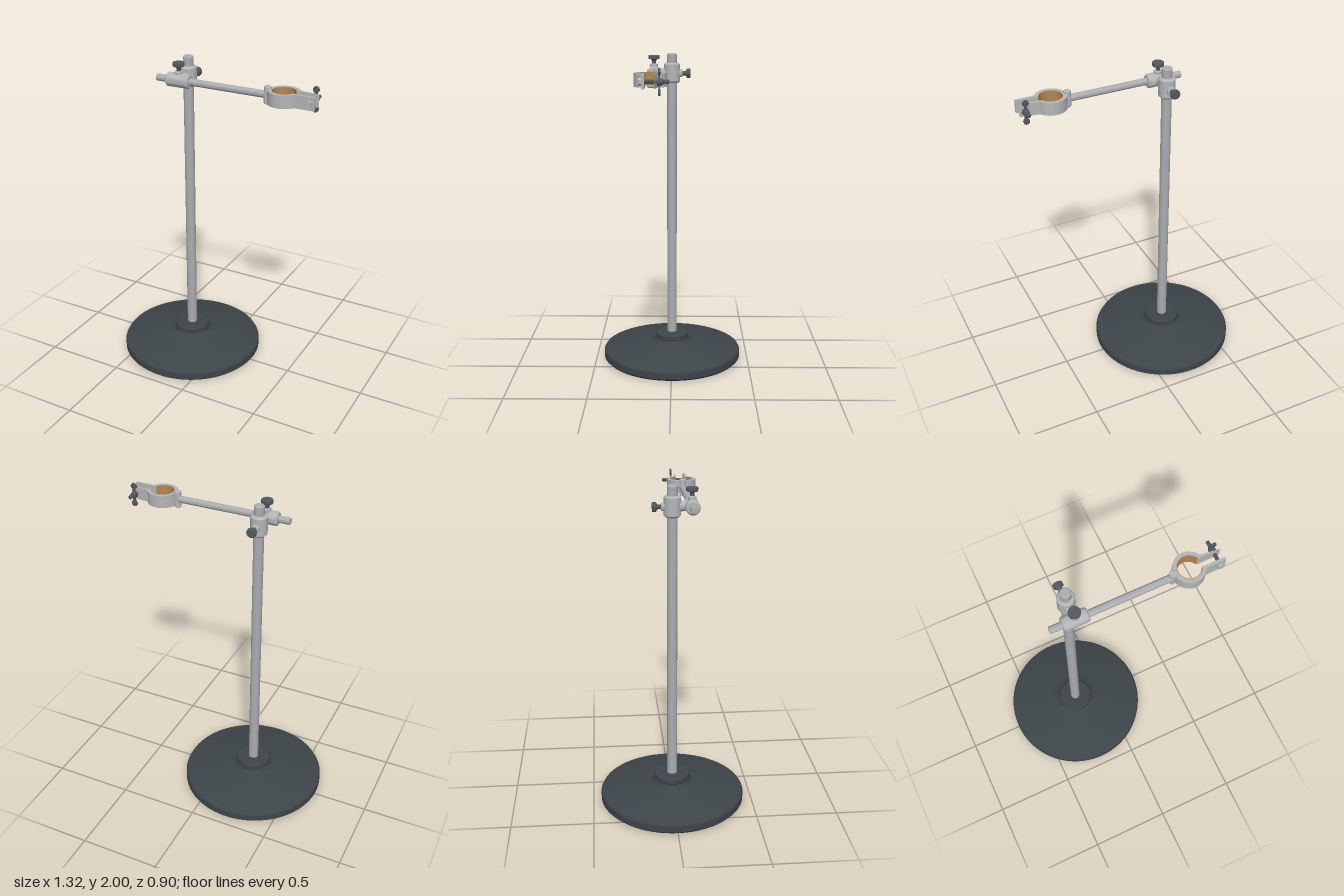
import * as THREE from 'three';
import { toCreasedNormals } from 'three/addons/utils/BufferGeometryUtils.js';

const material = (name, color) => Object.assign(new THREE.MeshStandardMaterial({ color }), { name });

export function createModel() {
  const group = new THREE.Group();
  const castIron = material('castIron', 0x3d4549);
  const steel = material('steel', 0xabacb0);
  const clampMetal = material('clampMetal', 0xb4b5b7);
  const knobMetal = material('knobMetal', 0x55595d);
  const cork = material('cork', 0xb48652);

  const poleX = -0.21, armY = 1.88, armZ = 0.113;
  const ringX = 0.46, screwX = 0.627;

  function add(name, geometry, mat, x, y, z, parent = group) {
    const mesh = new THREE.Mesh(geometry, mat);
    mesh.name = name;
    mesh.position.set(x, y, z);
    parent.add(mesh);
    return mesh;
  }

  // Turned solid from [radius, height] pairs, rising along y
  const turned = (profile, segments = 40) => toCreasedNormals(
    new THREE.LatheGeometry(profile.map(([r, y]) => new THREE.Vector2(r, y)), segments), 0.45);

  // Chamfered bar from a to b along an axis
  function bar(r, a, b, axis = 'y', chamfer = 0.006, segments = 32) {
    const geo = turned([[0, a], [r - chamfer, a], [r, a + chamfer],
      [r, b - chamfer], [r - chamfer, b], [0, b]], segments);
    if (axis === 'x') geo.rotateZ(-Math.PI / 2);
    if (axis === 'z') geo.rotateX(Math.PI / 2);
    return geo;
  }

  // Weighted base and upright pole
  add('base', turned([[0, 0], [0.435, 0], [0.45, 0.015], [0.45, 0.055], [0.443, 0.068],
    [0.428, 0.075], [0.17, 0.1], [0.135, 0.107], [0.118, 0.118], [0.108, 0.132],
    [0.105, 0.14], [0.108, 0.145], [0.108, 0.168], [0.101, 0.175], [0, 0.175]], 96),
    castIron, poleX, 0, 0);
  add('pole', bar(0.031, 0.17, 2), steel, poleX, 0, 0);

  // Boss head: pole collar, cross sleeve and the web joining them
  add('poleCollar', bar(0.05, -0.062, 0.062, 'y', 0.01), clampMetal, poleX, armY, 0);
  add('armSleeve', bar(0.042, -0.075, 0.075, 'x', 0.008), clampMetal, poleX, armY, armZ);
  add('bossWeb', bar(0.03, 0.03, 0.09, 'z', 0.002), clampMetal, poleX, armY, 0);

  // Thumbscrews with fluted grips, built pointing up from the origin
  function thumbscrew(name, length, radius) {
    const screw = new THREE.Group();
    screw.name = name;
    add('screwBoss', bar(0.025, 0, 0.022, 'y', 0.004), clampMetal, 0, 0, 0, screw);
    add('screwNeck', turned([[0, 0], [0.013, 0], [0.013, length - 0.012],
      [0.021, length], [0, length]], 20), knobMetal, 0, 0, 0, screw);
    const outline = [];
    for (let i = 0; i < 96; i++) {
      const t = i / 96 * Math.PI * 2;
      const r = radius - 0.003 + 0.001 * Math.cos(t * 16);
      outline.push(new THREE.Vector2(Math.cos(t) * r, Math.sin(t) * r));
    }
    const grip = new THREE.ExtrudeGeometry(new THREE.Shape(outline),
      { depth: 0.018, bevelEnabled: true, bevelSize: 0.002, bevelThickness: 0.003, bevelSegments: 1 });
    grip.rotateX(-Math.PI / 2);
    add('grip', grip, knobMetal, 0, length + 0.002, 0, screw);
    group.add(screw);
    return screw;
  }
  thumbscrew('armThumbscrew', 0.05, 0.035).position.set(poleX, armY + 0.035, armZ);
  const rear = thumbscrew('poleThumbscrew', 0.05, 0.029);
  rear.position.set(poleX, armY - 0.003, -0.043);
  rear.rotation.x = -Math.PI / 2;

  // Arm and its vertical end pin
  add('arm', bar(0.021, -0.357, 0.37, 'x', 0.004), steel, 0, armY, armZ);
  add('armEndPin', bar(0.021, -0.051, 0.051, 'y', 0.004), clampMetal, 0.361, armY, armZ);

  // Split ring clamp with two lugs, drawn in plan and extruded upward
  const outer = 0.092, inner = 0.07, lugOut = 0.043, lugIn = 0.026, tip = 0.198;
  const aOut = Math.asin(lugOut / outer), aIn = Math.asin(lugIn / inner);
  const plan = new THREE.Shape();
  plan.moveTo(tip, lugOut);
  plan.absarc(0, 0, outer, aOut, Math.PI * 2 - aOut, false);
  plan.lineTo(tip, -lugOut);
  plan.lineTo(tip, -lugIn);
  plan.absarc(0, 0, inner, Math.PI * 2 - aIn, aIn, true);
  plan.lineTo(tip, lugIn);
  plan.closePath();
  const extrudeUp = (shape, height) => toCreasedNormals(
    new THREE.ExtrudeGeometry(shape, { depth: height, bevelEnabled: false, curveSegments: 48 })
      .translate(0, 0, -height / 2).rotateX(-Math.PI / 2), 0.45);
  add('ringClamp', extrudeUp(plan, 0.076), clampMetal, ringX, armY, armZ);

  // Cork lining
  const lining = new THREE.Shape();
  const aCork = aIn + 0.08;
  lining.absarc(0, 0, inner, aCork, Math.PI * 2 - aCork, false);
  lining.absarc(0, 0, 0.066, Math.PI * 2 - aCork, aCork, true);
  lining.closePath();
  add('corkLining', extrudeUp(lining, 0.074), cork, ringX, armY, armZ);

  // Clamp bolt with hex head and thread ridges
  add('clampBolt', bar(0.01, 0.004, 0.165, 'z', 0.002, 20), knobMetal, screwX, armY, 0);
  add('boltHead', new THREE.CylinderGeometry(0.02, 0.02, 0.016, 6).toNonIndexed()
    .rotateX(Math.PI / 2), clampMetal, screwX, armY, 0.164).geometry.computeVertexNormals();
  for (let i = 0; i < 11; i++) {
    const z = i < 5 ? 0.008 + i * 0.007 : 0.092 + (i - 5) * 0.008;
    add('boltThread', new THREE.TorusGeometry(0.0098, 0.0022, 6, 20), knobMetal, screwX, armY, z);
  }

  // Wing nut
  const nut = new THREE.Group();
  nut.name = 'wingNut';
  nut.position.set(screwX, armY - 0.002, 0);
  group.add(nut);
  const hub = turned([[0, 0.04], [0.014, 0.04], [0.019, 0.047], [0.021, 0.07], [0, 0.07]], 24);
  add('nutHub', hub.rotateX(Math.PI / 2), knobMetal, 0, 0, 0, nut);
  for (const side of [-1, 1]) {
    add('wing', bar(0.019, -0.006, 0.006, 'z', 0.002, 24), knobMetal, 0, side * 0.055, 0.059, nut);
    add('wingArm', new THREE.BoxGeometry(0.016, 0.04, 0.01), knobMetal, 0, side * 0.03, 0.059, nut);
  }

  return group;
}
